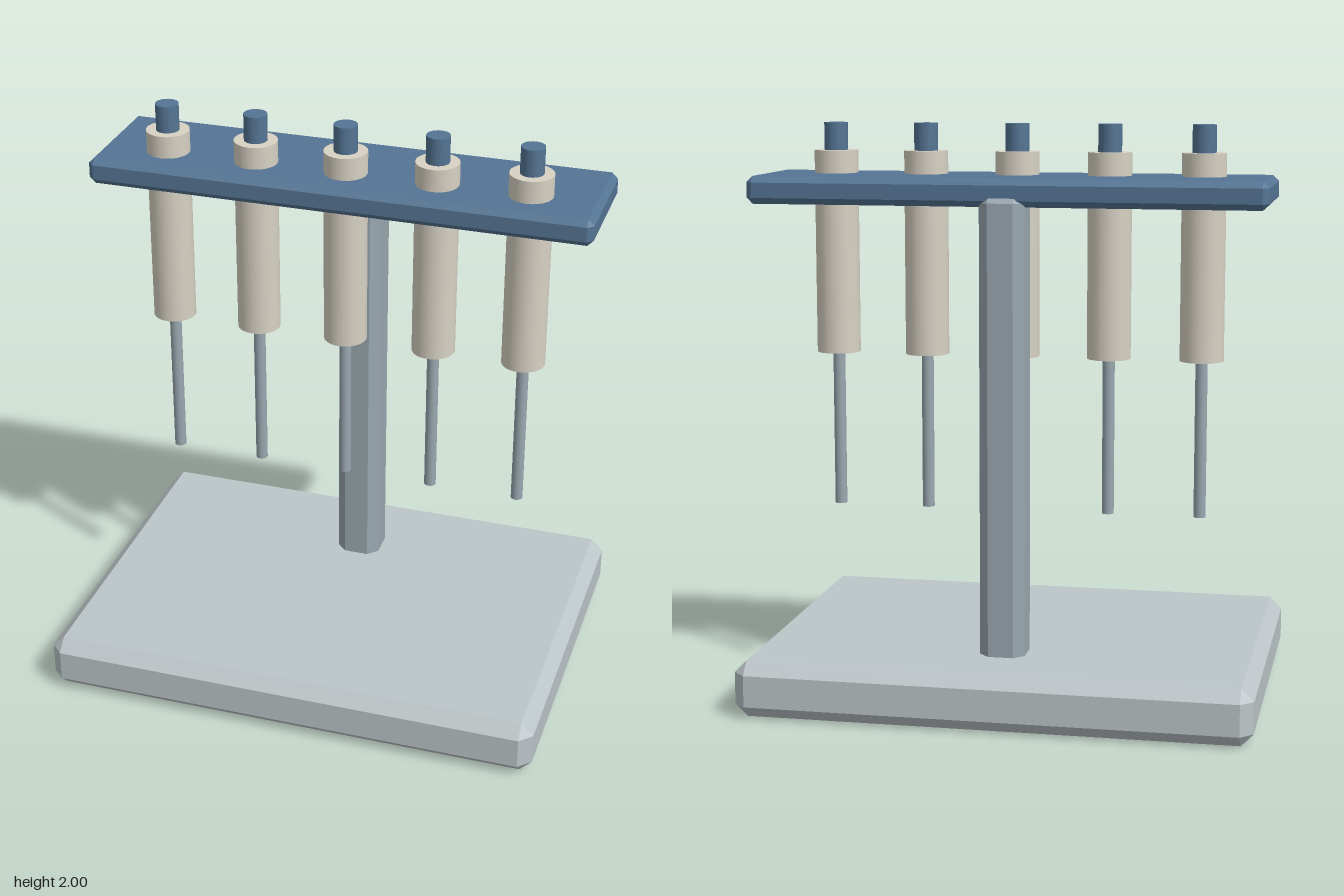
import * as THREE from 'three';
import { ConvexGeometry } from 'three/addons/geometries/ConvexGeometry.js';

const material = (color) => new THREE.MeshStandardMaterial({ color });
const paleGrey = material(0xbcc5c8);
const steel = material(0x9aa8b0);
const blue = material(0x557594);
const cream = material(0xd8d2c4);

// Box with every edge chamfered by c: three points at each corner
function chamferBox(w, h, d, c) {
  const points = [];
  for (const sx of [-1, 1]) for (const sy of [-1, 1]) for (const sz of [-1, 1]) {
    const x = w / 2, y = h / 2, z = d / 2;
    points.push(
      new THREE.Vector3(sx * x, sy * (y - c), sz * (z - c)),
      new THREE.Vector3(sx * (x - c), sy * y, sz * (z - c)),
      new THREE.Vector3(sx * (x - c), sy * (y - c), sz * z));
  }
  return new ConvexGeometry(points);
}

function add(parent, name, geometry, mat, x, y, z) {
  const mesh = new THREE.Mesh(geometry, mat);
  mesh.name = name;
  mesh.position.set(x, y, z);
  parent.add(mesh);
  return mesh;
}

// Upright cylinder spanning y0 to y1
function addRod(parent, name, radius, y0, y1, mat) {
  add(parent, name, new THREE.CylinderGeometry(radius, radius, y1 - y0, 24), mat, 0, (y0 + y1) / 2, 0);
}

export function createModel() {
  const model = new THREE.Group();
  model.name = 'pipetteStand';

  // Stand: base, rear post and rack plate
  add(model, 'base', chamferBox(1.77, 0.196, 1.286, 0.043), paleGrey, 0, 0.098, 0);
  add(model, 'post', chamferBox(0.156, 1.64, 0.16, 0.034), steel, 0, 0.96, -0.321);
  add(model, 'rackPlate', chamferBox(1.77, 0.094, 0.446, 0.021), blue, 0, 1.779, -0.162);

  // Row of five pipettes hanging through the plate
  for (let i = -2; i <= 2; i++) {
    const pipette = new THREE.Group();
    pipette.name = 'pipette' + (i + 3);
    pipette.position.set(i * 0.3215, 0, -0.097);
    addRod(pipette, 'barrel', 0.076, 1.197, 1.905, cream);
    addRod(pipette, 'plunger', 0.041, 1.88, 2, blue);
    addRod(pipette, 'tip', 0.021, 0.65, 1.22, steel);
    model.add(pipette);
  }
  return model;
}
